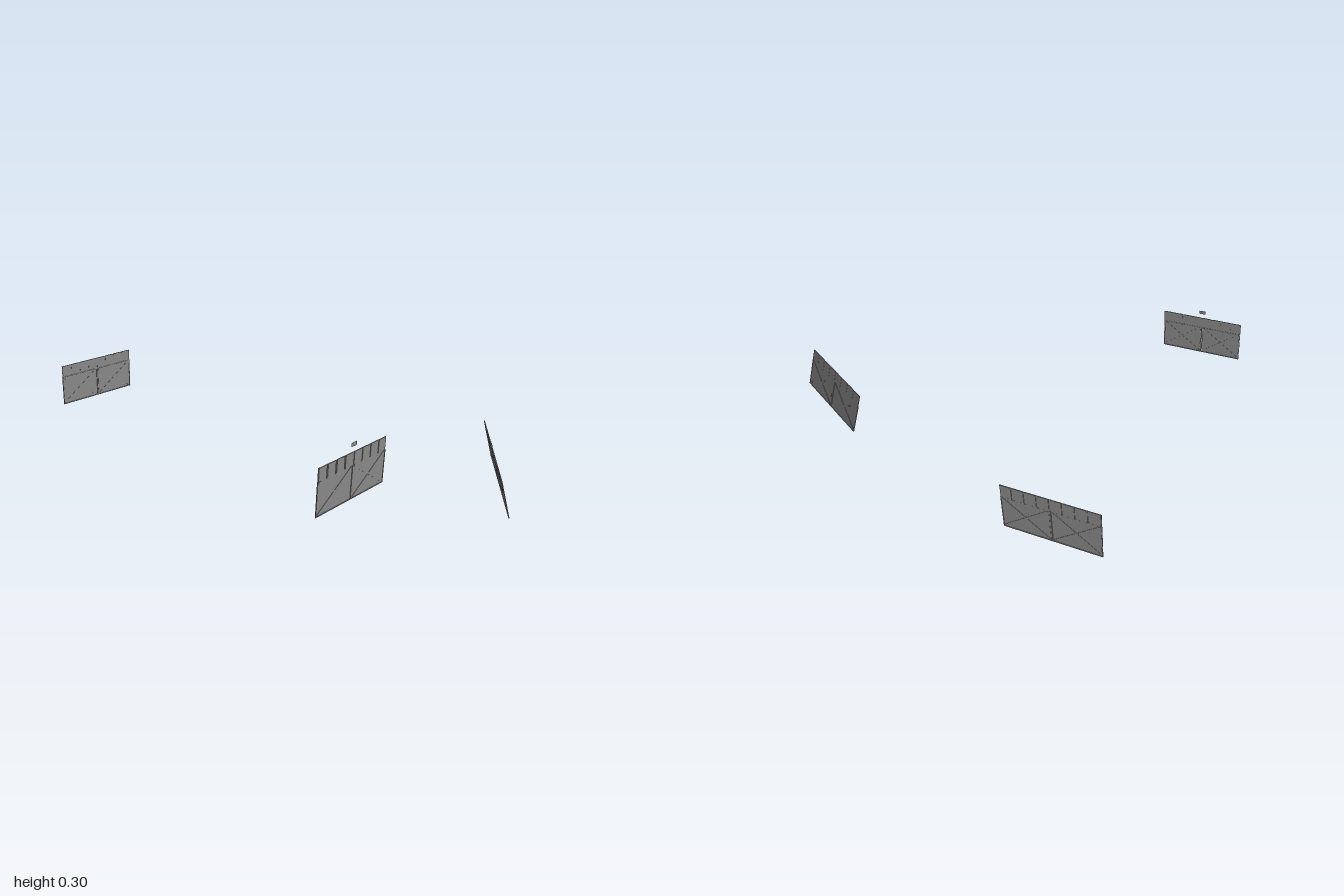
import * as THREE from 'three';

const material = new THREE.MeshStandardMaterial({ color: 0x888888, flatShading: true });

// Box given by its centre and size
function box(parent, name, [x, y, z], [sx, sy, sz], tilt = 0) {
  const mesh = new THREE.Mesh(new THREE.BoxGeometry(sx, sy, sz), material);
  mesh.name = name;
  mesh.position.set(x, y, z);
  mesh.rotation.x = tilt;
  parent.add(mesh);
}

const WIDTH = 0.524, HEIGHT = 0.247, THICK = 0.005;
const LINTEL_Y = 0.179, SILL = 0.003, SIDE = 0.0015, POST = 0.007;
const DOOR_W = 0.253, DOOR_H = 0.172, DOOR_Y = 0.091, DOOR_Z = 0.132;
const BRACE = 0.009;

// One door leaf: thin panel with crossed braces on both faces
function makeDoor(z) {
  const door = new THREE.Group();
  door.name = 'door';
  door.position.set(0, DOOR_Y, z);
  box(door, 'doorPanel', [0, 0, 0], [0.0016, DOOR_H, DOOR_W]);
  const length = Math.hypot(DOOR_H, DOOR_W) - 1.5 * BRACE;
  const angle = Math.atan2(DOOR_H, DOOR_W);
  for (const s of [-1, 1]) {
    box(door, 'doorBrace', [0, 0, 0], [THICK - 0.0002 + s * 0.0002, BRACE, length], s * angle);
  }
  return door;
}

// Gate centred on its own thickness, outer face towards +x
function makeGate() {
  const gate = new THREE.Group();
  gate.name = 'gate';

  // Frame with a narrow slit around each door
  box(gate, 'sill', [0, SILL / 2, 0], [THICK, SILL, WIDTH]);
  const openH = LINTEL_Y - SILL, openY = (LINTEL_Y + SILL) / 2;
  box(gate, 'centrePost', [0, openY, 0], [THICK, openH, POST]);
  for (const s of [-1, 1]) {
    box(gate, 'sidePost', [0, openY, s * (WIDTH - SIDE) / 2], [THICK, openH, SIDE]);
    gate.add(makeDoor(s * DOOR_Z));
  }

  // Header board, deep slats outside and shallow ones inside
  const tall = HEIGHT - LINTEL_Y, y = LINTEL_Y + tall / 2, pitch = WIDTH / 8;
  box(gate, 'headerBoard', [-0.001, y, 0], [0.001, tall, WIDTH]);
  for (let i = 0; i < 8; i++) {
    const z = (i - 3.5) * pitch;
    box(gate, 'outerSlat', [0.001, y, z], [0.003, tall, pitch - 0.008]);
    box(gate, 'innerSlat', [-0.002, y, z], [0.001, tall, pitch - 0.004]);
  }

  // Flat pull handle standing off the inner face
  box(gate, 'handle', [-0.011, 0.0875, 0], [0.001, 0.026, 0.005]);
  return gate;
}

export function createModel() {
  const model = new THREE.Group();
  model.name = 'gatePair';

  // Two gates facing away from each other
  for (const s of [1, -1]) {
    const gate = makeGate();
    gate.name = s > 0 ? 'leftGate' : 'rightGate';
    gate.position.x = s * (1 - THICK / 2);
    if (s < 0) gate.rotation.y = Math.PI;
    model.add(gate);
  }

  // Small thin plate floating over the left gate
  box(model, 'signPlate', [0.9965, 0.285, 0.001], [0.0004, 0.021, 0.04]);
  return model;
}
